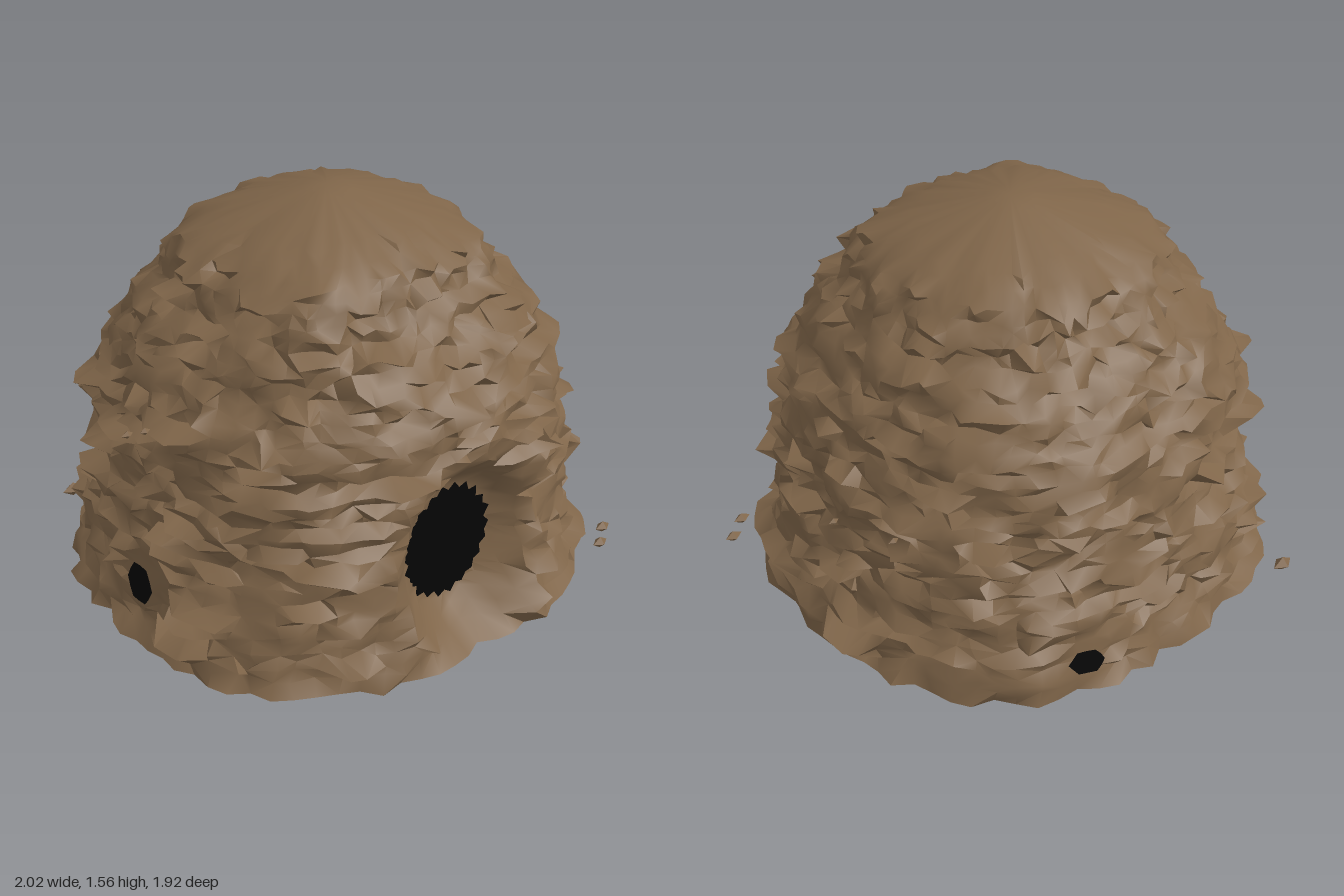
import * as THREE from 'three';
import { toCreasedNormals, mergeVertices } from 'three/addons/utils/BufferGeometryUtils.js';

const earth = new THREE.MeshStandardMaterial({ color: 0x7f6549 });
earth.name = 'brown earth';
const dark = new THREE.MeshStandardMaterial({ color: 0x050505, side: THREE.DoubleSide });
dark.name = 'black hollow';

// Repeatable random numbers
let seed = 11;
function rand() {
  seed = (seed * 16807) % 2147483647;
  return seed / 2147483647;
}
const spread = (a) => (rand() * 2 - 1) * a;

// Radius of the mound against height, with soft terraces near 1.18 and 1.4
const profile = [[0, 0.97], [0.15, 0.92], [0.4, 0.87], [0.6, 0.85], [0.9, 0.815], [1.0, 0.76],
  [1.15, 0.68], [1.21, 0.61], [1.36, 0.54], [1.42, 0.45], [1.48, 0.31], [1.52, 0.2], [1.545, 0.09], [1.56, 0]];
function radiusAt(y) {
  const k = Math.max(1, profile.findIndex((p) => p[0] >= y));
  const [a, b] = [profile[k - 1], profile[k]];
  return THREE.MathUtils.lerp(a[1], b[1], (y - a[0]) / (b[0] - a[0]));
}

// Slightly squared round plan; the front is pressed in around the entrance
function place(angle, radius, y) {
  const r = radius * (1 + 0.065 * Math.sin(2 * angle) ** 2);
  const x = r * Math.sin(angle);
  let z = r * 0.975 * Math.cos(angle);
  if (z > 0) {
    const e = Math.hypot(x / 0.2, (y - 0.37) / 0.24);
    z = THREE.MathUtils.lerp(z, Math.min(z, 0.69), 1 - THREE.MathUtils.smoothstep(e, 0.95, 1.7));
  }
  return [x, y, z];
}

// Small hollows at the back and side
const burrows = [
  { name: 'backBurrow', angle: 2.71, y: 0.125, rx: 0.07, ry: 0.05, tilt: -0.3 },
  { name: 'sideBurrow', angle: -1.53, y: 0.22, rx: 0.075, ry: 0.085, tilt: -0.1 },
];

// The surface is smoother around the openings and near the crown
function roughness(angle, y) {
  let rough = (1 - THREE.MathUtils.smoothstep(y, 1.1, 1.5) * 0.6) * Math.min(1, radiusAt(y) * 2.5);
  if (Math.cos(angle) > 0) {
    const e = Math.hypot(Math.sin(angle) * 0.88 / 0.34, (y - 0.37) / 0.36);
    rough *= 0.12 + 0.88 * THREE.MathUtils.smoothstep(e, 0.75, 1.25);
  }
  for (const b of burrows) {
    const gap = Math.hypot(2 * Math.sin((angle - b.angle) / 2), y - b.y);
    rough *= THREE.MathUtils.smoothstep(gap, 0.09, 0.17);
  }
  return rough;
}

// Crumbly shell: scattered clods with slanted undersides jut out of each course
function moundGeometry() {
  const columns = 80;
  const course = 0.072;
  const step = (Math.PI * 2) / columns;
  const points = [];
  const rings = [];
  const addRing = (ring) => {
    rings.push(points.length / 3);
    points.push(...ring.flat());
  };
  const edge = [];
  for (let i = 0; i < columns; i++) edge.push(place(i * step, 0.97 + spread(0.03), 0.005));
  addRing(edge);
  for (let y = 0.06; y < 1.5; y += course) {
    const inner = [], outer = [];
    let left = 0, clod = 0, shift = 0;
    for (let i = 0; i < columns; i++) {
      const angle = i * step;
      const rough = roughness(angle, y);
      // Clods and bare patches take turns, a few columns each
      if (left-- <= 0) {
        const bare = clod > 0 || rand() < 0.35;
        clod = bare ? 0 : 0.04 + rand() * 0.07;
        left = Math.floor(rand() * (bare ? 6 : 3));
        shift = spread(0.022);
      }
      const lump = 0.014 * Math.sin(5 * angle + 9 * y) + 0.012 * Math.sin(9 * angle - 13 * y) + shift;
      const depth = clod * rough;
      const turn = angle + spread(0.35) * step * rough;
      const rise = course * (0.5 + spread(0.15));
      const r = radiusAt(y) + (lump + spread(0.018)) * rough;
      const upper = radiusAt(y + rise) + (lump + spread(0.018)) * rough;
      inner.push(place(turn, r - depth * 0.4, y + spread(0.012) * rough));
      outer.push(place(turn + spread(0.3) * step * rough, upper + depth * 0.6, y + rise));
    }
    addRing(inner);
    addRing(outer);
  }
  // Rounded cap ring
  addRing(edge.map((p, i) => place(i * step, 0.09, 1.546)));

  // Join the rings, splitting the quads either way
  const index = [];
  for (let k = 0; k < rings.length - 1; k++) {
    for (let i = 0; i < columns; i++) {
      const j = (i + 1) % columns;
      const [a, b, c, d] = [rings[k] + i, rings[k] + j, rings[k + 1] + j, rings[k + 1] + i];
      if (rand() < 0.5) index.push(a, b, c, a, c, d);
      else index.push(a, b, d, b, c, d);
    }
  }
  // Crown and flat underside
  const top = points.length / 3;
  points.push(0, 1.557, 0, 0, 0, 0);
  const last = rings[rings.length - 1];
  for (let i = 0; i < columns; i++) {
    const j = (i + 1) % columns;
    index.push(last + i, last + j, top, j, i, top + 1);
  }
  const geometry = new THREE.BufferGeometry();
  geometry.setAttribute('position', new THREE.Float32BufferAttribute(points, 3));
  geometry.setIndex(index);
  return toCreasedNormals(mergeVertices(geometry), 0.8);
}

// Ragged-edged flat patch
function raggedPatch(rx, ry, teeth) {
  const shape = new THREE.Shape();
  for (let i = 0; i < teeth * 2; i++) {
    const a = (i / (teeth * 2)) * Math.PI * 2;
    const s = (i % 2 ? 0.89 : 1) + spread(0.03);
    shape[i ? 'lineTo' : 'moveTo'](Math.cos(a) * rx * s, Math.sin(a) * ry * s);
  }
  return new THREE.ShapeGeometry(shape);
}

export function createModel() {
  const group = new THREE.Group();
  const add = (name, geometry, material, x, y, z) => {
    const mesh = new THREE.Mesh(geometry, material);
    mesh.name = name;
    mesh.position.set(x, y, z);
    group.add(mesh);
    return mesh;
  };

  add('mound', moundGeometry(), earth, 0, 0, 0);
  add('entrance', raggedPatch(0.215, 0.245, 22), dark, -0.01, 0.375, 0.71);
  for (const b of burrows) {
    const mesh = add(b.name, raggedPatch(b.rx, b.ry, 6), dark, ...place(b.angle, radiusAt(b.y) + 0.014, b.y));
    mesh.rotation.set(b.tilt, b.angle, 0, 'YXZ');
  }

  // Loose crumbs
  const crumbs = [[-0.97, 0.91, 0.1, 0.022], [-0.91, 0.91, 0.12, 0.02], [0.91, 0.7, -0.4, 0.02],
    [0.91, 0.57, -0.05, 0.02], [-0.62, 0.03, -0.93, 0.045], [0.9, 0.03, 0.68, 0.035], [0.81, 0.03, 0.75, 0.035]];
  for (const [x, y, z, size] of crumbs) {
    const crumb = add('crumb', new THREE.OctahedronGeometry(size), earth, x, y, z);
    crumb.scale.set(1.1, 0.7, 0.7);
  }
  return group;
}
